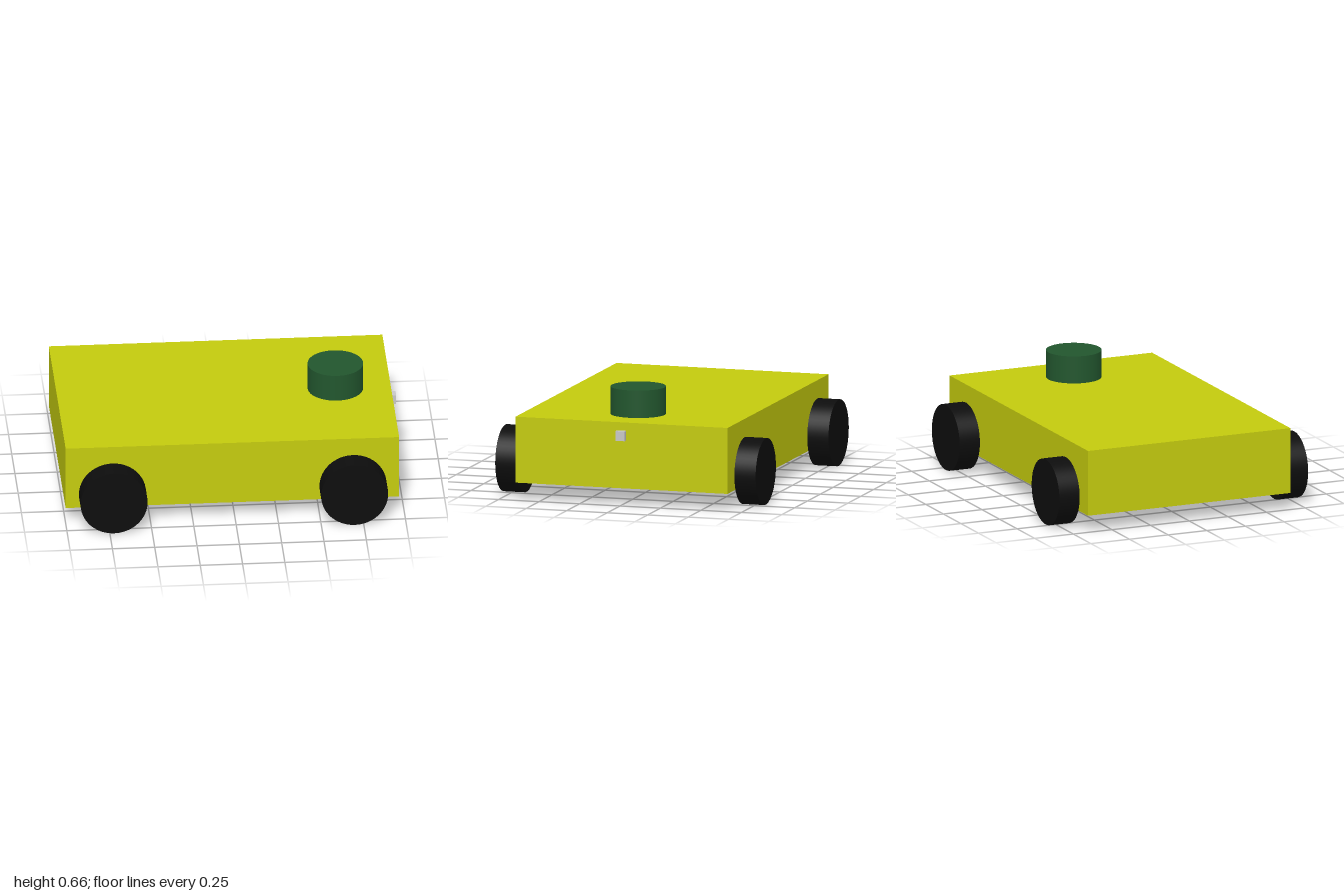
import * as THREE from 'three';

const yellow = new THREE.MeshStandardMaterial({ color: 0xc4cb0e });
yellow.name = 'yellow paint';
const black = new THREE.MeshStandardMaterial({ color: 0x0d0d0d });
black.name = 'black rubber';
const green = new THREE.MeshStandardMaterial({ color: 0x22562e });
green.name = 'dark green';
const grey = new THREE.MeshStandardMaterial({ color: 0xc8c8c8 });
grey.name = 'light grey';

export function createModel() {
  const model = new THREE.Group();
  model.name = 'rover';

  const add = (name, geometry, material, x, y, z) => {
    const mesh = new THREE.Mesh(geometry, material);
    mesh.name = name;
    mesh.position.set(x, y, z);
    model.add(mesh);
  };

  // Chassis box
  add('body', new THREE.BoxGeometry(1.97, 0.394, 1.31), yellow, -0.015, 0.298, 0);

  // Round sensor housing standing on the deck
  add('turret', new THREE.CylinderGeometry(0.164, 0.164, 0.164, 48), green, 0.643, 0.577, 0);

  // Small block on the nose
  add('noseSensor', new THREE.BoxGeometry(0.03, 0.058, 0.058), grey, 0.985, 0.417, 0);

  // Four wheels, set slightly off the body sides
  const wheel = new THREE.CylinderGeometry(0.198, 0.198, 0.131, 48).rotateX(Math.PI / 2);
  for (const [end, x] of [['rear', -0.725], ['front', 0.696]]) {
    for (const [side, z] of [['Near', 0.739], ['Far', -0.739]]) {
      add(`${end}${side}Wheel`, wheel, black, x, 0.198, z);
    }
  }

  return model;
}
